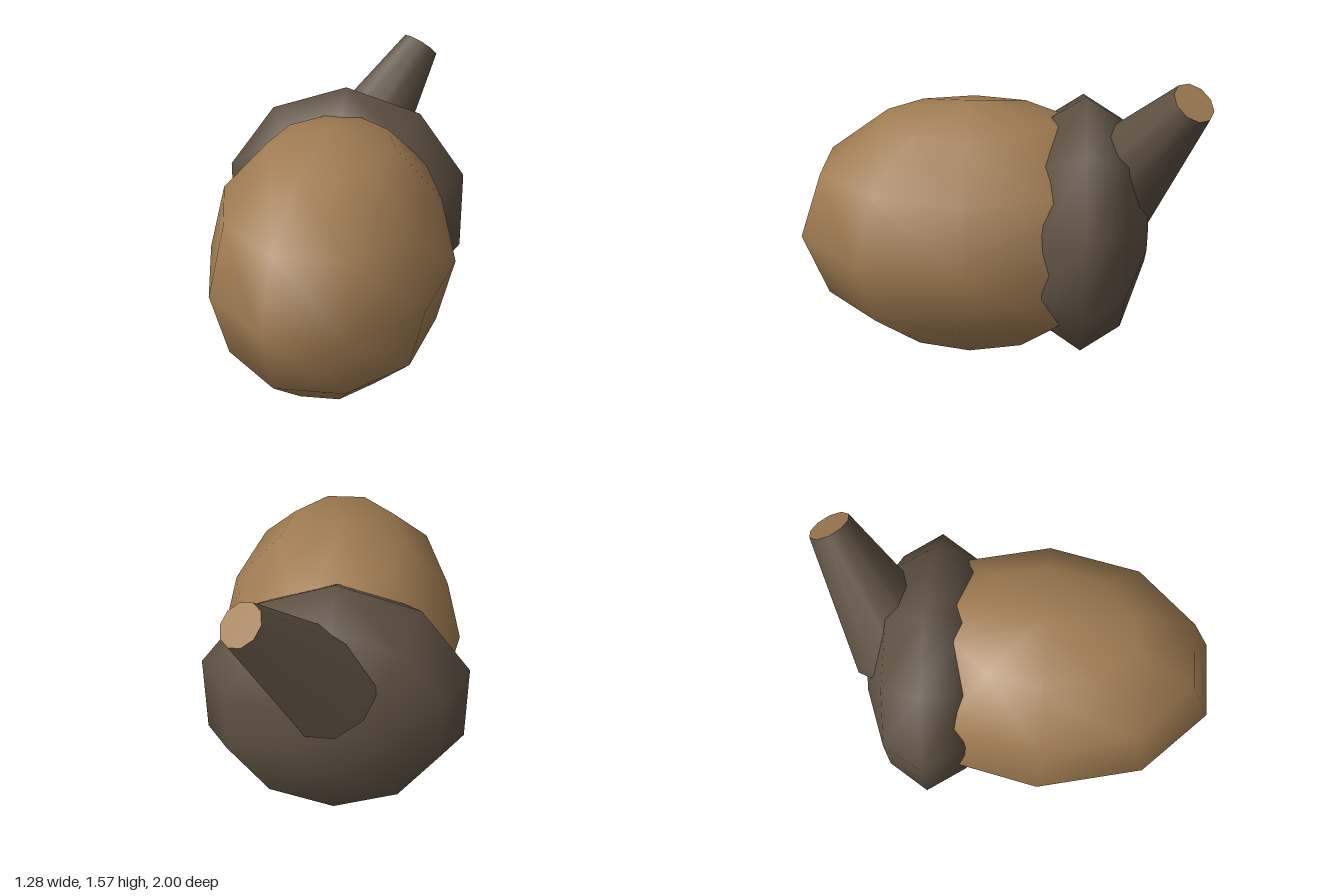
import * as THREE from 'three';

const nutBrown = new THREE.MeshStandardMaterial({ name: 'nutBrown', color: 0xa07c52 });
const barkBrown = new THREE.MeshStandardMaterial({ name: 'barkBrown', color: 0x5e5142 });

function addPart(group, name, geometry, material) {
  const mesh = new THREE.Mesh(geometry, material);
  mesh.name = name;
  group.add(mesh);
  return mesh;
}

export function createModel() {
  const acorn = new THREE.Group();
  acorn.name = 'acorn';

  // Nut: low-poly smooth sphere stretched towards the front
  const nutGeometry = new THREE.SphereGeometry(1, 10, 6);
  nutGeometry.scale(0.63, 0.68, 0.904);
  addPart(acorn, 'nut', nutGeometry, nutBrown).position.set(0, 0.68, 0.14);

  // Cap: squashed ten-sided lathe with a flat end, turned to face backwards
  const radius = 0.675, depth = 0.34;
  const profile = [-72, -36, 0, 36, 72].map((deg) => {
    const a = THREE.MathUtils.degToRad(deg);
    return new THREE.Vector2(radius * Math.cos(a), depth * Math.sin(a));
  });
  profile.unshift(new THREE.Vector2(0, profile[0].y));
  profile.push(new THREE.Vector2(0, profile[profile.length - 1].y));
  const cap = addPart(acorn, 'cap', new THREE.LatheGeometry(profile, 10), barkBrown);
  cap.rotation.x = -Math.PI / 2;
  cap.position.set(0, 0.71, -0.43);

  // Stem: tapered and leaning up, back and to the left, with a pale cut end
  const base = new THREE.Vector3(0.01, 0.916, -0.582);
  const tip = new THREE.Vector3(0.36, 1.5, -0.903);
  const axis = tip.clone().sub(base);
  const stemGeometry = new THREE.CylinderGeometry(0.107, 0.263, axis.length(), 10);
  const stem = addPart(acorn, 'stem', stemGeometry, [barkBrown, nutBrown, barkBrown]);
  stem.position.copy(base).add(tip).multiplyScalar(0.5);
  stem.quaternion.setFromUnitVectors(new THREE.Vector3(0, 1, 0), axis.normalize());

  return acorn;
}
